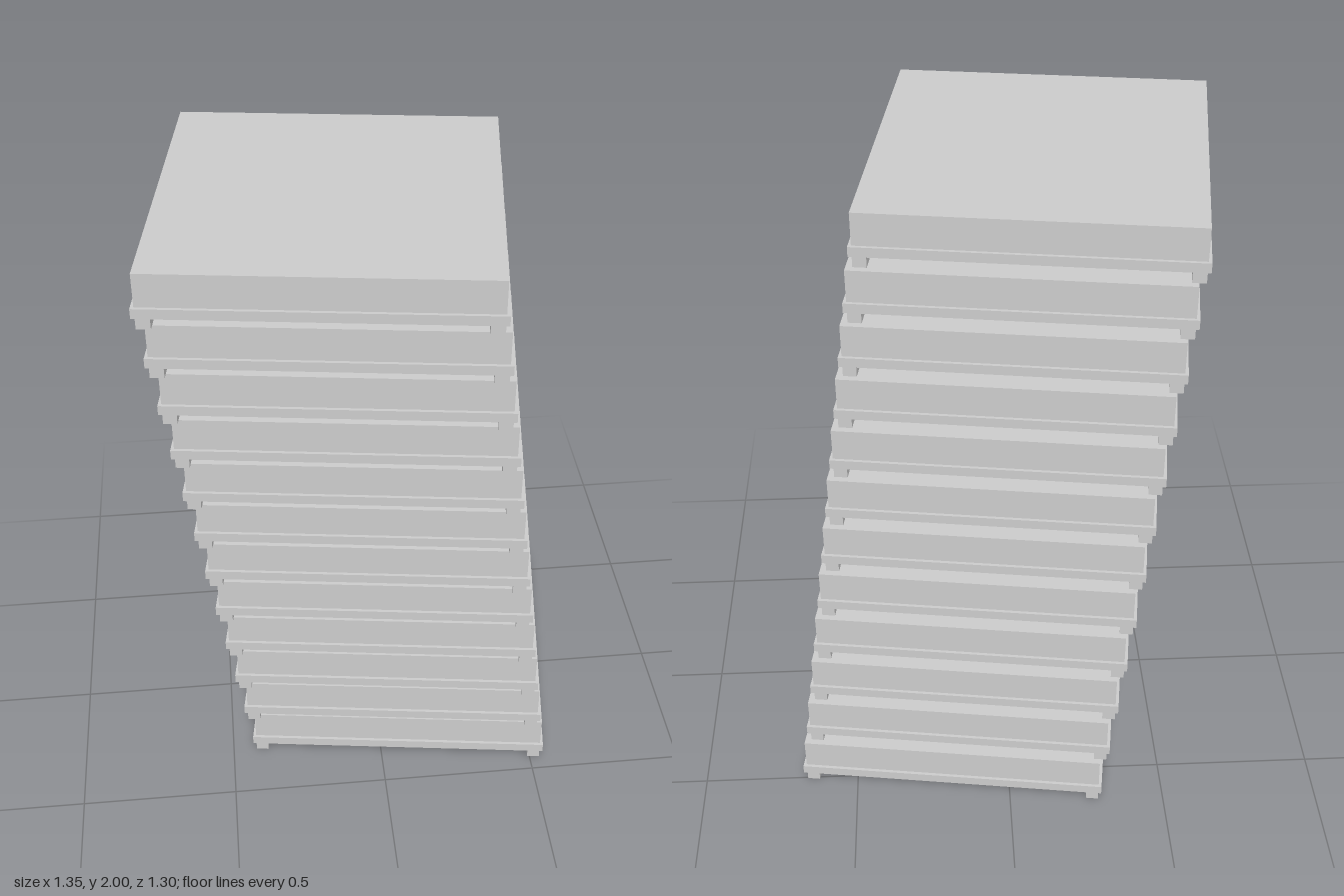
import * as THREE from 'three';

const COUNT = 12;
const PITCH = 2 / COUNT;
const BODY = 0.963, RIM = 0.982;
const FOOT_H = 0.037, RIM_H = 0.03;

// Foot: a bar whose inner end slopes in towards the ground
function footGeometry() {
  const s = new THREE.Shape([
    [0, 0], [0.045, 0], [0.1, FOOT_H], [0, FOOT_H],
  ].map(([x, y]) => new THREE.Vector2(x, y)));
  const g = new THREE.ExtrudeGeometry(s, { depth: 0.04, bevelEnabled: false });
  g.translate(0, 0, -0.02);
  g.rotateY(Math.PI / 2); // profile now runs from 0 towards -z
  return g;
}

export function createModel() {
  const model = new THREE.Group();
  model.name = 'leaningStack';
  const mat = new THREE.MeshStandardMaterial({ color: 0xcccccc, flatShading: true });

  const bodyH = PITCH - FOOT_H - RIM_H;
  const bodyGeo = new THREE.BoxGeometry(BODY, bodyH, BODY);
  const rimGeo = new THREE.BoxGeometry(RIM, RIM_H, RIM);
  const footGeo = footGeometry();

  const add = (parent, geo, name, x, y, z) => {
    const m = new THREE.Mesh(geo, mat);
    m.name = name;
    m.position.set(x, y, z);
    parent.add(m);
    return m;
  };

  // Identical trays, each shifted a little from the one below
  for (let i = 0; i < COUNT; i++) {
    const t = 1 - (2 * i) / (COUNT - 1);
    const tray = new THREE.Group();
    tray.name = `tray${i + 1}`;
    tray.position.set(0.122 * t, i * PITCH, -0.093 * t);
    tray.rotation.y = -THREE.MathUtils.degToRad(8);

    add(tray, rimGeo, 'rim', 0, FOOT_H + RIM_H / 2, 0);
    add(tray, bodyGeo, 'body', 0, FOOT_H + RIM_H + bodyH / 2, 0);

    // Four corner feet, mirrored front to back by a half turn
    for (const sx of [-1, 1]) for (const sz of [-1, 1]) {
      const foot = add(tray, footGeo, 'foot', sx * (BODY / 2 - 0.02), 0, sz * BODY / 2);
      if (sz < 0) foot.rotation.y = Math.PI;
    }
    model.add(tray);
  }
  return model;
}
